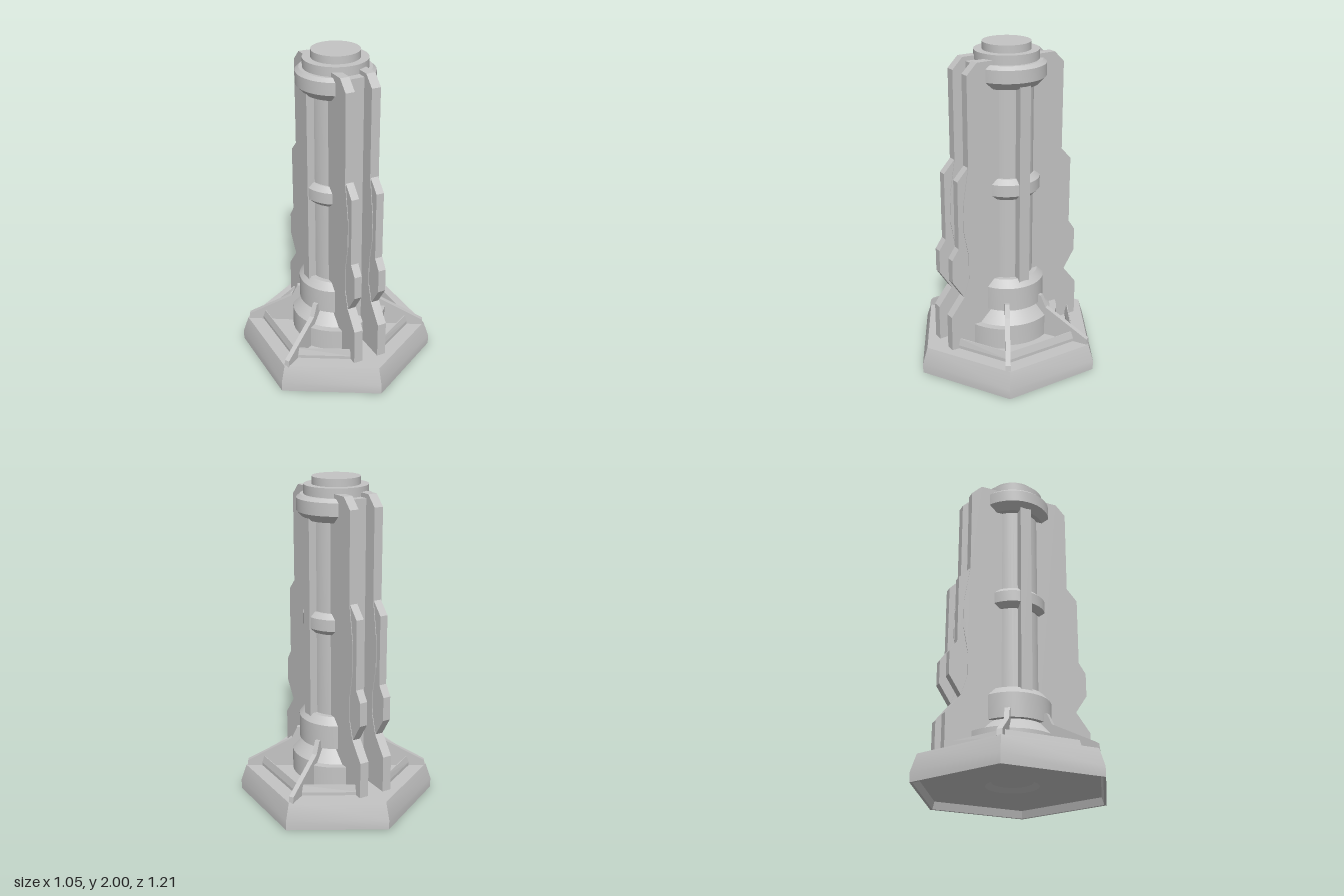
import * as THREE from 'three';
import { toCreasedNormals } from 'three/addons/utils/BufferGeometryUtils.js';

const v = ([x, y]) => new THREE.Vector2(x, y);
const crease = (g) => toCreasedNormals(g, 0.5);

// Turned part from [radius, height] points, listed bottom to top
function turned(points, segments = 48, start = 0, length = Math.PI * 2) {
  return crease(new THREE.LatheGeometry(points.map(v), segments, start, length));
}

// Upright plate from [z, y] points, centred on x = 0
function plate(points, thickness) {
  const g = new THREE.ExtrudeGeometry(new THREE.Shape(points.map(v)), { depth: thickness, bevelEnabled: false });
  return g.translate(0, 0, -thickness / 2).rotateY(-Math.PI / 2);
}

export function createModel() {
  const model = new THREE.Group();
  model.name = 'tower';
  const grey = new THREE.MeshStandardMaterial({ color: 0xc4c4c4 });
  grey.name = 'light grey';
  const add = (name, geometry, parent = model) => {
    const mesh = new THREE.Mesh(geometry, grey);
    mesh.name = name;
    parent.add(mesh);
    return mesh;
  };

  // Hexagonal base with a hollow underside
  add('base', turned([[0.575, 0.045], [0.59, 0], [0.607, 0], [0.607, 0.06], [0.572, 0.165], [0, 0.165]], 6));
  const floor = new THREE.Shape();
  for (let i = 0; i < 6; i++) {
    const a = (i * Math.PI) / 3;
    floor[i ? 'lineTo' : 'moveTo'](0.575 * Math.sin(a), 0.575 * Math.cos(a));
  }
  floor.closePath();
  floor.holes.push(new THREE.Path().absarc(0, 0, 0.155, 0, Math.PI * 2));
  add('baseUnderside', new THREE.ShapeGeometry(floor, 24).rotateX(Math.PI / 2).translate(0, 0.045, 0));
  add('basePocket', turned([[0, 0.07], [0.12, 0.07], [0.155, 0.045]]));

  // Column, from the flared foot to the cap
  add('columnFoot', turned([[0.274, 0.165], [0.274, 0.3], [0.2, 0.38], [0.228, 0.38], [0.228, 0.53], [0.19, 0.575], [0, 0.575]]));
  add('column', turned([[0.16, 0.55], [0.16, 1.8]]));
  add('middleCollar', turned([[0.15, 1.09], [0.17, 1.09], [0.2, 1.12], [0.2, 1.19], [0.17, 1.22], [0.15, 1.22]]));
  add('topCollar', turned([[0.15, 1.76], [0.19, 1.76], [0.232, 1.805], [0.232, 1.88], [0.21, 1.9], [0, 1.9]]));
  add('cap', turned([[0.19, 1.89], [0.19, 1.955], [0.142, 1.955], [0.142, 2], [0, 2]]));

  // Raised frame on each side of the base
  const half = (apothem) => {
    const r = apothem / Math.cos(Math.PI / 6);
    const end = r - 0.09 * Math.tan(Math.PI / 6);
    return [[0.09, end], [apothem, r / 2], [apothem, -r / 2], [0.09, -end]];
  };
  const frameShape = new THREE.Shape([...half(0.405), ...half(0.389).reverse()].map(v));
  for (const side of [1, -1]) {
    const frame = new THREE.ExtrudeGeometry(frameShape, {
      depth: 0.02, bevelEnabled: true, bevelSegments: 1, bevelThickness: 0.045, bevelSize: 0.012, bevelOffset: -0.006,
    }).rotateX(-Math.PI / 2).translate(0, 0.165, 0);
    if (side < 0) frame.rotateY(Math.PI);
    add('baseFrame', frame);

    // Side rib running up the column
    add('sideRib', new THREE.BoxGeometry(0.08, 1.245, 0.07).translate(side * 0.163, 1.167, 0));
  }

  // Four braces and the ring sections beside them
  const brace = [[0.18, 0.16], [0.565, 0.16], [0.56, 0.2], [0.28, 0.355], [0.245, 0.43], [0.18, 0.43]];
  const angle = THREE.MathUtils.degToRad(59);
  for (const turn of [angle, -angle, Math.PI - angle, Math.PI + angle]) {
    add('brace', plate(brace, 0.03)).rotation.y = turn;
  }
  const start = THREE.MathUtils.degToRad(15);
  for (const from of [start, -angle, Math.PI - angle, Math.PI + start]) {
    add('footRing', turned([[0.316, 0.165], [0.316, 0.3], [0.25, 0.3]], 10, from, angle - start));
  }

  // Paired tall fins with outer plates, front and back
  const fin = [
    [0.1, 0.16], [0.455, 0.16], [0.455, 0.39], [0.365, 0.505], [0.33, 0.62], [0.33, 0.77],
    [0.36, 0.93], [0.36, 1.1], [0.325, 1.32], [0.325, 1.86], [0.26, 1.925], [0.1, 1.925],
  ];
  const outer = [
    [0.31, 0.58], [0.365, 0.505], [0.44, 0.62], [0.44, 0.765], [0.395, 0.83],
    [0.395, 1.25], [0.325, 1.325], [0.31, 1.3],
  ];
  for (const [name, turn] of [['frontFins', 0], ['backFins', Math.PI]]) {
    const fins = new THREE.Group();
    fins.name = name;
    fins.rotation.y = turn;
    for (const x of [-0.08, 0.08]) {
      add('fin', plate(fin, 0.056), fins).position.x = x;
      add('outerPlate', plate(outer, 0.048), fins).position.x = x;
    }
    // Flat panel closing the gap between the fins
    add('finPanel', new THREE.BoxGeometry(0.11, 1.735, 0.14).translate(0, 1.0325, 0.17), fins);
    model.add(fins);
  }
  return model;
}
